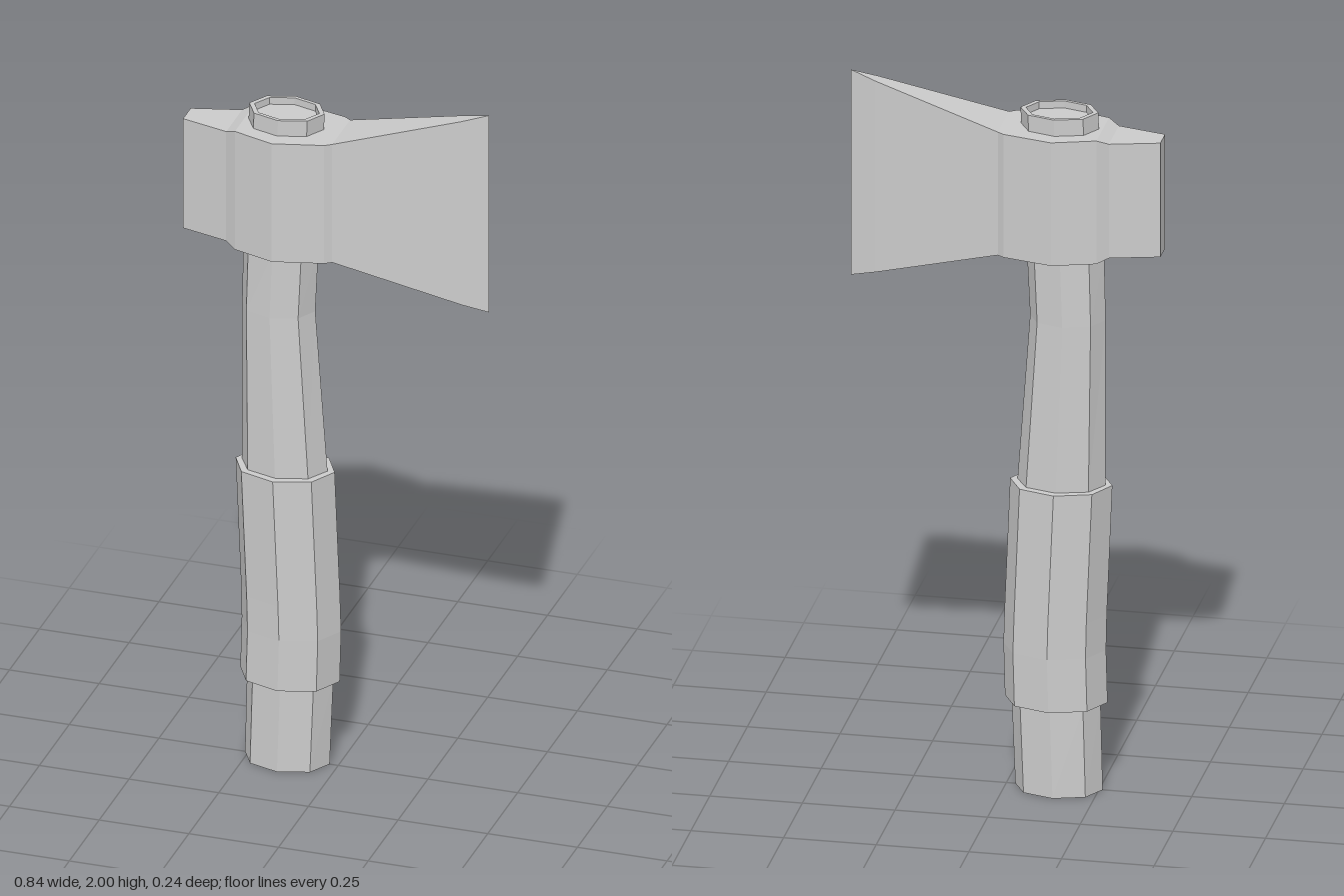
import * as THREE from 'three';

const material = new THREE.MeshStandardMaterial({ color: 0xcccccc, flatShading: true });

// Skin a list of equal-length rings (counter-clockwise about their direction of travel) and cap both ends.
function loft(name, rings) {
  const positions = [];
  const ab = new THREE.Vector3(), ac = new THREE.Vector3();
  const tri = (a, b, c) => {
    ab.subVectors(b, a);
    ac.subVectors(c, a);
    if (ab.cross(ac).length() < 1e-9) return; // skip collapsed faces
    for (const p of [a, b, c]) positions.push(p.x, p.y, p.z);
  };
  const n = rings[0].length;
  for (let i = 0; i < rings.length - 1; i++) {
    for (let j = 0; j < n; j++) {
      const k = (j + 1) % n;
      const [a, b, c, d] = [rings[i][j], rings[i][k], rings[i + 1][k], rings[i + 1][j]];
      tri(a, b, c);
      tri(a, c, d);
    }
  }
  const first = rings[0], last = rings[rings.length - 1];
  for (let j = 1; j < n - 1; j++) {
    tri(first[0], first[j + 1], first[j]);
    tri(last[0], last[j], last[j + 1]);
  }
  const geometry = new THREE.BufferGeometry();
  geometry.setAttribute('position', new THREE.Float32BufferAttribute(positions, 3));
  geometry.computeVertexNormals();
  const mesh = new THREE.Mesh(geometry, material);
  mesh.name = name;
  return mesh;
}

// Octagonal ring at height y, from xMin to xMax, half depth rz, shrunk by scale.
function octagon([y, xMin, xMax, rz, scale = 1]) {
  const cx = (xMin + xMax) / 2, rx = (xMax - xMin) / 2;
  return Array.from({ length: 8 }, (_, i) => {
    const a = (i / 8) * Math.PI * 2;
    return new THREE.Vector3(cx + Math.cos(a) * rx * scale, y, -Math.sin(a) * rz * scale);
  });
}

// Rectangular ring across the head at x, from yMin to yMax, half thickness z.
function slab([x, yMin, yMax, z]) {
  return [[yMax, -z], [yMax, z], [yMin, z], [yMin, -z]].map(([y, d]) => new THREE.Vector3(x, y, d));
}

export function createModel() {
  const group = new THREE.Group();
  group.name = 'axe';

  // Curved handle with a shallow recess in each end
  group.add(loft('handle', [
    [0.03, -0.26, -0.024, 0.087, 0.8],
    [0, -0.26, -0.024, 0.087, 0.8],
    [0, -0.26, -0.024, 0.087],
    [0.25, -0.254, -0.014, 0.086],
    [0.42, -0.252, -0.01, 0.086],
    [0.87, -0.268, -0.03, 0.083],
    [1.34, -0.268, -0.064, 0.077],
    [1.53, -0.264, -0.055, 0.075],
    [1.93, -0.248, -0.038, 0.075],
    [1.93, -0.248, -0.038, 0.075, 0.86],
    [1.91, -0.248, -0.038, 0.075, 0.86],
  ].map(octagon)));

  // Thicker sleeve around the lower handle
  group.add(loft('grip', [
    [0.25, -0.273, 0.004, 0.105],
    [0.4, -0.269, 0.008, 0.105],
    [0.5, -0.271, 0.005, 0.105],
    [0.87, -0.286, -0.01, 0.105],
  ].map(octagon)));

  // Head: poll, eye swelling and flared blade
  group.add(loft('head', [
    [-0.422, 1.545, 1.87, 0.032],
    [-0.29, 1.545, 1.87, 0.067],
    [-0.26, 1.533, 1.884, 0.085],
    [-0.145, 1.533, 1.884, 0.122],
    [-0.01, 1.533, 1.884, 0.088],
    [0.008, 1.533, 1.884, 0.075],
    [0.35, 1.435, 1.98, 0.019],
    [0.42, 1.415, 2, 0],
  ].map(slab)));

  return group;
}
